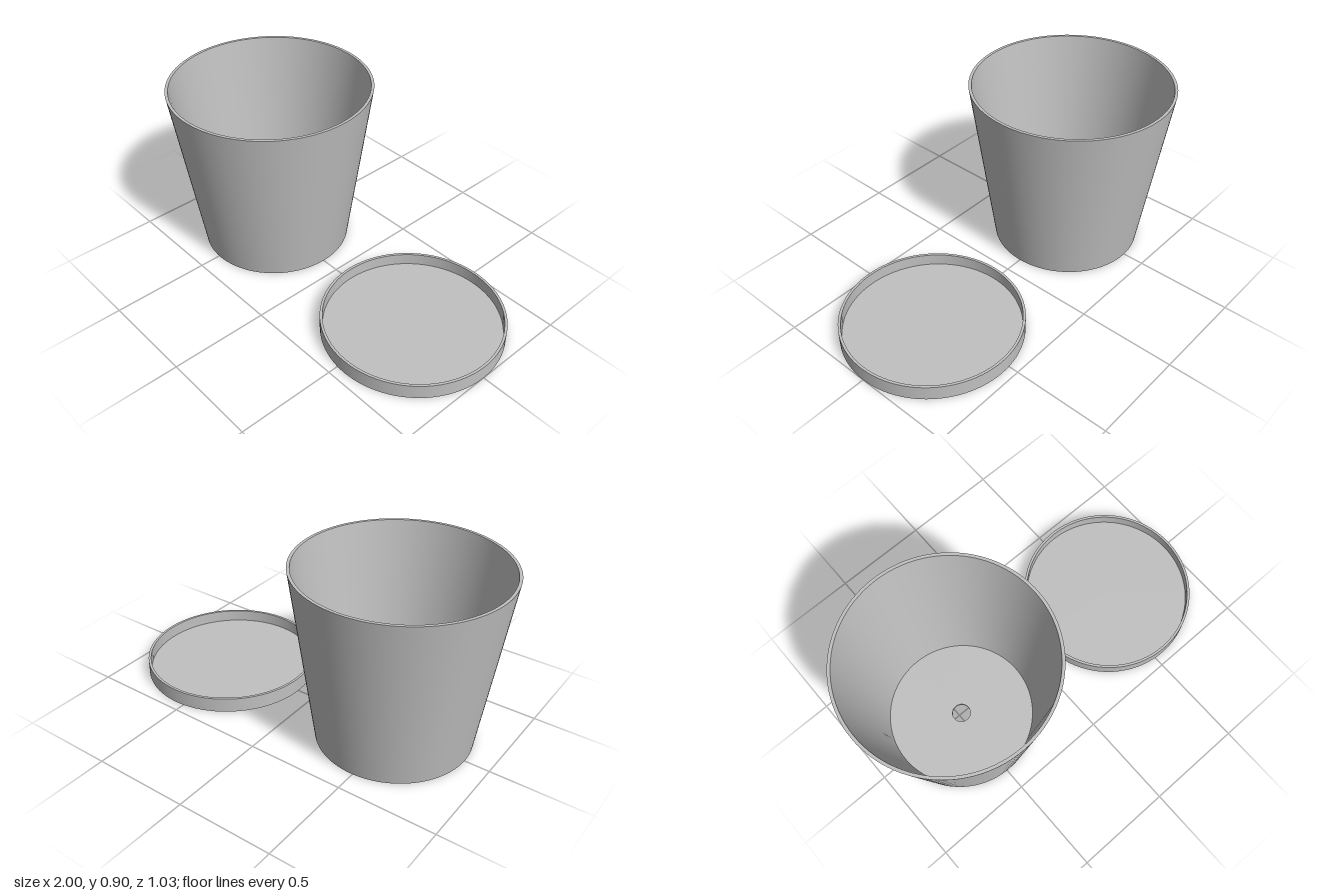
import * as THREE from 'three';
import { mergeGeometries } from 'three/addons/utils/BufferGeometryUtils.js';

const SIDES = 96;

// Revolves each profile edge separately so corners stay sharp and walls smooth.
function sharpLathe(profile) {
  const edges = [];
  for (let i = 0; i < profile.length - 1; i++) {
    const pair = [profile[i], profile[i + 1]].map(([r, y]) => new THREE.Vector2(r, y));
    edges.push(new THREE.LatheGeometry(pair, SIDES));
  }
  return mergeGeometries(edges);
}

export function createModel() {
  const model = new THREE.Group();
  model.name = 'planterWithSaucer';
  const grey = new THREE.MeshStandardMaterial({ color: 0xc0c0c0 });
  grey.name = 'grey';

  const addPart = (name, x, profile) => {
    const mesh = new THREE.Mesh(sharpLathe(profile), grey);
    mesh.name = name;
    mesh.position.x = x;
    model.add(mesh);
  };

  // Tapered pot: underside, outer wall, rim, inner wall, floor, drain hole
  addPart('pot', -0.485, [
    [0.047, 0], [0.387, 0], [0.515, 0.905], [0.5, 0.905],
    [0.374, 0.015], [0.047, 0.015], [0.047, 0],
  ]);

  // Shallow saucer: underside, outer wall, rim, inner wall, floor
  addPart('saucer', 0.55, [
    [0, 0], [0.45, 0], [0.45, 0.077], [0.437, 0.077], [0.437, 0.015], [0, 0.015],
  ]);

  return model;
}
